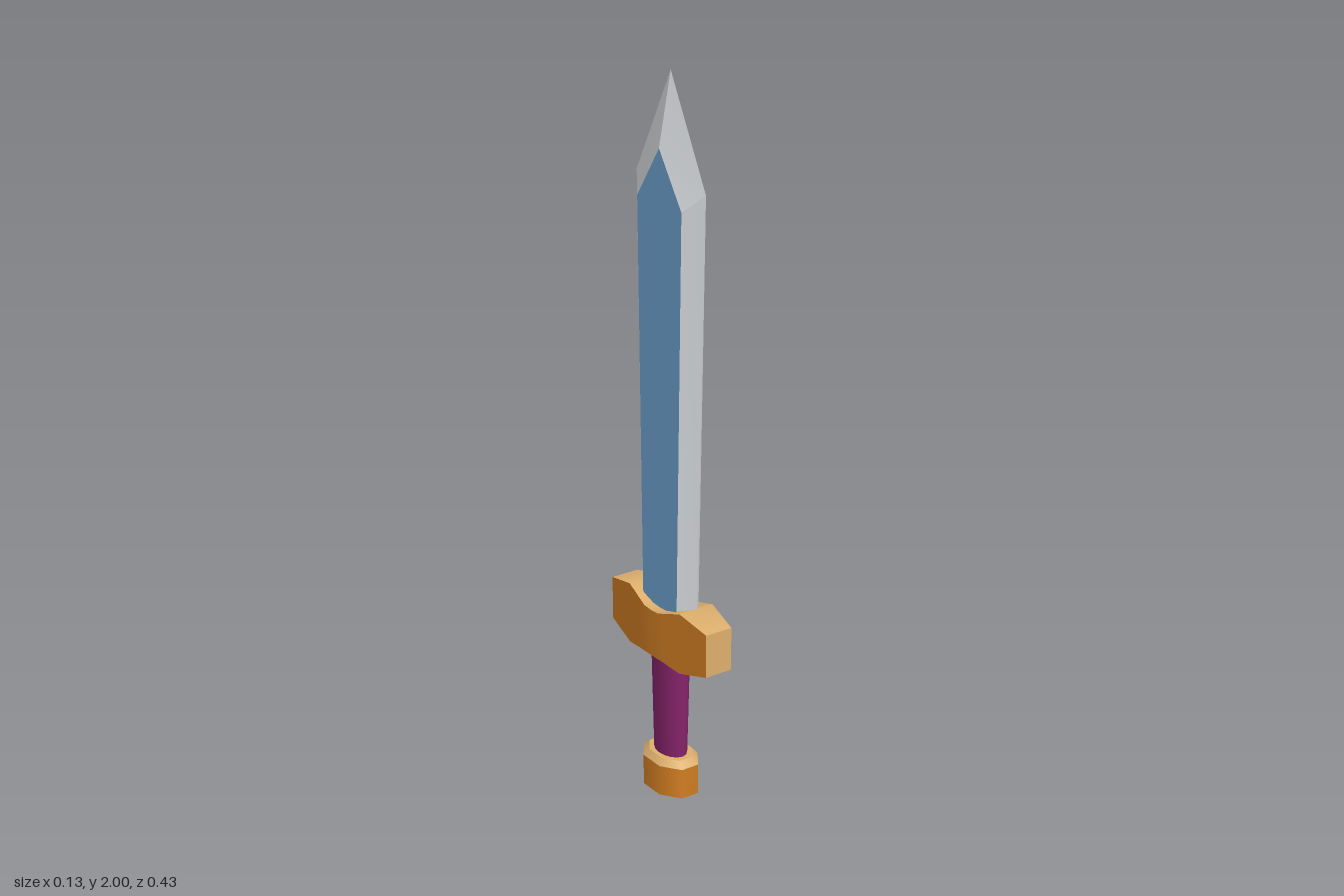
import * as THREE from 'three';
import { toCreasedNormals } from 'three/addons/utils/BufferGeometryUtils.js';

function material(name, color, side = THREE.FrontSide) {
  const m = new THREE.MeshStandardMaterial({ color, side });
  m.name = name;
  return m;
}

// Turns convex polygons (lists of [x, y, z]) into a creased geometry
function polygons(faces, crease) {
  const pos = [];
  for (const f of faces)
    for (let i = 1; i < f.length - 1; i++) pos.push(...f[0], ...f[i], ...f[i + 1]);
  const g = new THREE.BufferGeometry();
  g.setAttribute('position', new THREE.Float32BufferAttribute(pos, 3));
  return toCreasedNormals(g, crease);
}

// Mirrors a face in x and z, keeping its front outward
function mirrored(face) {
  const out = [];
  for (const sx of [1, -1]) for (const sz of [1, -1]) {
    const f = face.map(([x, y, z]) => [x * sx, y, z * sz]);
    out.push(sx * sz < 0 ? f.reverse() : f);
  }
  return out;
}

export function createModel() {
  const silver = material('silver steel', 0xd9dcdf);
  const blue = material('blue steel', 0x70a6d3);
  const orange = material('dark gold', 0xd58024);
  const tan = material('pale gold', 0xdcae6c);
  const purple = material('purple leather', 0x86246a);

  const sword = new THREE.Group();
  sword.name = 'sword';
  const add = (name, geometry, mat, parent = sword) => {
    const mesh = new THREE.Mesh(geometry, mat);
    mesh.name = name;
    parent.add(mesh);
    return mesh;
  };
  const group = (name) => {
    const g = new THREE.Group();
    g.name = name;
    sword.add(g);
    return g;
  };

  // Blade: flat blue faces, bevelled silver edges and a faceted point
  const blade = group('blade');
  const T = 0.035;
  const base = [T, 0.5, 0], baseSide = [T, 0.5, 0.075], baseEdge = [0, 0.5, 0.116];
  const shoulder = [T, 1.67, 0.095], shoulderEdge = [0, 1.72, 0.148];
  const peak = [T, 1.81, 0], tip = [0, 2, 0];
  add('bladeFaces', polygons(mirrored([base, peak, shoulder, baseSide]), 0.2), blue, blade);
  add('bladeEdges', polygons(mirrored([baseSide, shoulder, shoulderEdge, baseEdge]), 0.2), silver, blade);
  add('bladePoint', polygons(mirrored([shoulder, peak, tip, shoulderEdge]), 0.2), silver, blade);

  // Guard: stations from the middle outward as [z, half width, top, bottom]
  const guard = group('guard');
  const stations = [
    [0, 0.063, 0.57, 0.438], [0.03, 0.063, 0.572, 0.438], [0.06, 0.059, 0.581, 0.435],
    [0.085, 0.056, 0.59, 0.431], [0.115, 0.0525, 0.6, 0.428], [0.215, 0.04, 0.576, 0.455],
  ];
  const top = [], bottom = [], sides = [];
  for (let i = 0; i < stations.length - 1; i++) {
    const [z0, w0, t0, b0] = stations[i], [z1, w1, t1, b1] = stations[i + 1];
    top.push(...mirrored([[0, t0, z0], [0, t1, z1], [w1, t1, z1], [w0, t0, z0]]));
    bottom.push(...mirrored([[0, b0, z0], [w0, b0, z0], [w1, b1, z1], [0, b1, z1]]));
    sides.push(...mirrored([[w0, b0, z0], [w0, t0, z0], [w1, t1, z1], [w1, b1, z1]]));
  }
  const [ze, we, te, be] = stations[stations.length - 1];
  const ends = mirrored([[0, be, ze], [we, be, ze], [we, te, ze], [0, te, ze]]);
  add('guardTop', polygons(top, 0.6), tan, guard);
  add('guardEnds', polygons(ends, 0.6), tan, guard);
  add('guardSides', polygons(sides, 0.6), orange, guard);
  add('guardBottom', polygons(bottom, 0.6), orange, guard);

  // Turned parts are squashed to an oval; radii are fractions of the half widths
  const turned = (name, profile, segments, start, hx, hz, mat, parent) => {
    const g = new THREE.LatheGeometry(profile.map(([r, y]) => new THREE.Vector2(r, y)), segments, start);
    add(name, g, mat, parent).scale.set(hx, 1, hz);
  };

  // Grip: oval handle widening towards the guard
  turned('grip', [[0.85, 0.12], [0.87, 0.16], [1, 0.46]], 16, 0, 0.044, 0.065, purple, sword);

  // Pommel: eight-sided oval with a pale bevel on top
  const pommel = group('pommel');
  const k = 1 / Math.cos(Math.PI / 8);
  const ring = (name, profile, mat) =>
    turned(name, profile.map(([r, y]) => [r * k, y]), 8, Math.PI / 8, 0.063, 0.09, mat, pommel);
  ring('pommelSide', [[1, 0.033], [1, 0.12]], orange);
  ring('pommelBevel', [[1, 0.12], [0.78, 0.137]], tan);
  ring('pommelTop', [[0.78, 0.137], [0, 0.137]], tan);
  ring('pommelBottom', [[0, 0], [0.5, 0.011], [1, 0.033]], orange);

  return sword;
}
